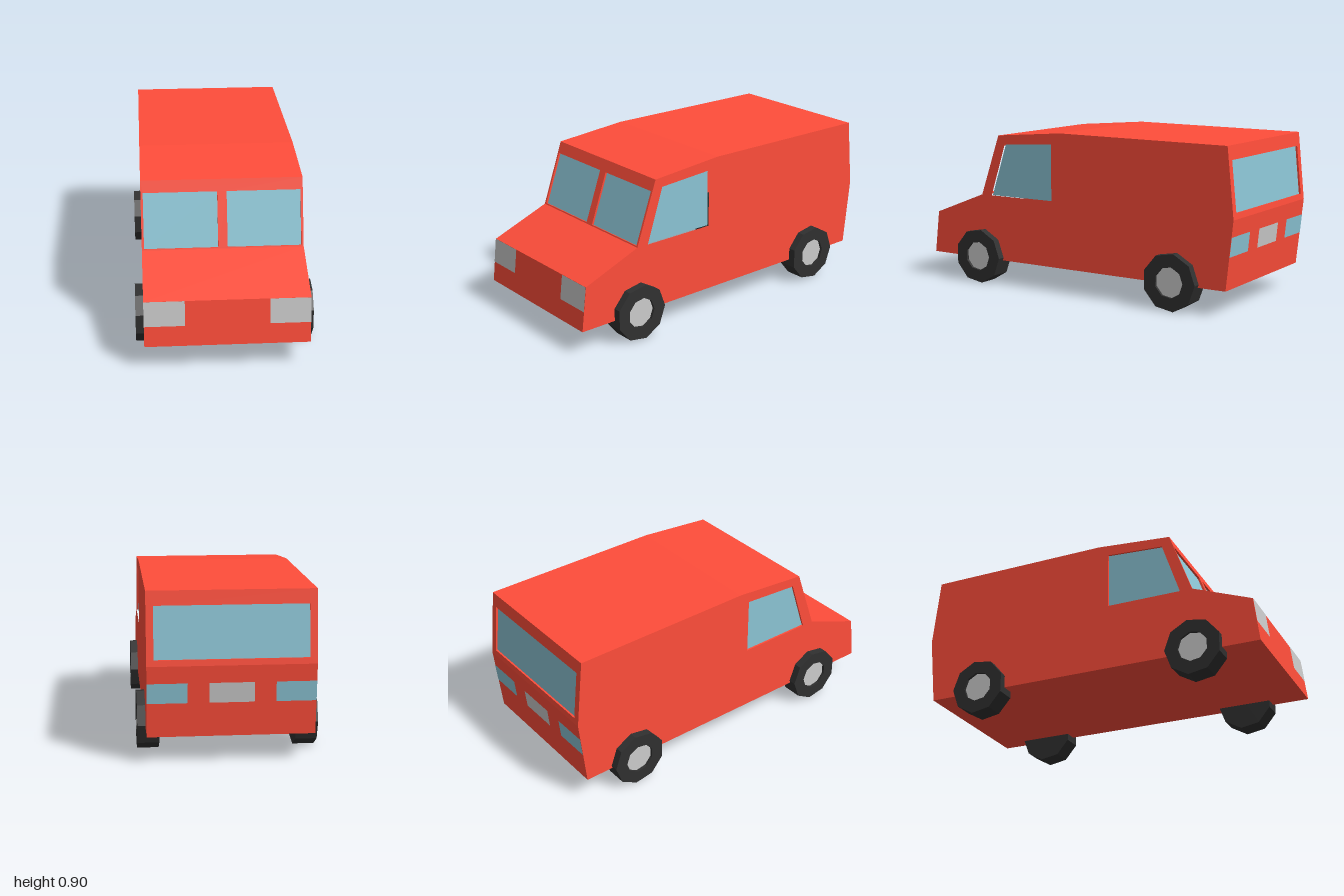
import * as THREE from 'three';

const mat = (color) => new THREE.MeshStandardMaterial({ color, flatShading: true });
const red = mat(0xff4d3a), glass = mat(0x8bc4d4), grey = mat(0xcccccc), rubber = mat(0x303030);

const HALF = 0.432;    // half body width
const RECESS = 0.012;  // how far the glass sits behind the body

const V = (x, y, z) => new THREE.Vector3(x, y, z);
const path = (pts, Type = THREE.Shape) => new Type(pts.map(([x, y]) => new THREE.Vector2(x, y)));
const rect = (x0, x1, y0, y1) => [[x0, y0], [x1, y0], [x1, y1], [x0, y1]];

// Flat body panel with recessed windows and thin stuck-on plates, in its own plane
function panel(name, outline, { windows = [], plates = [] } = {}) {
  const group = new THREE.Group();
  group.name = name;
  const add = (part, geo, material, z) => {
    const mesh = new THREE.Mesh(geo.translate(0, 0, z), material);
    mesh.name = part;
    group.add(mesh);
  };
  const shape = path(outline);
  windows.forEach((w) => shape.holes.push(path(w, THREE.Path)));
  if (windows.length) {
    add(name + 'Skin', new THREE.ExtrudeGeometry(shape, { depth: RECESS, bevelEnabled: false }), red, -RECESS);
  } else {
    add(name + 'Skin', new THREE.ShapeGeometry(shape), red, 0);
  }
  windows.forEach((w) => add(name + 'Glass', new THREE.ShapeGeometry(path(w)), glass, -RECESS + 0.001));
  plates.forEach((p) => add(p.name, new THREE.ShapeGeometry(path(p.points)), p.material, 0.0015));
  return group;
}

function place(group, u, v, n, origin) {
  const m = new THREE.Matrix4().makeBasis(u, v, n).setPosition(origin);
  group.applyMatrix4(m);
  return group;
}

// Side profile as [z, y], from the front bumper over the roof to the rear
const profile = [
  [1, 0.14], [0.97, 0.385], [0.635, 0.515], [0.51, 0.865],
  [0.08, 0.9], [-0.96, 0.893], [-1, 0.515], [-0.96, 0.14],
];
const sideWindow = [[0.565, 0.515], [0.465, 0.815], [0.14, 0.835], [0.14, 0.515]];

// Panels across the body; details use x and world height y
const strips = [
  { name: 'nose', plates: [
    { name: 'headlightLeft', material: grey, box: [0.22, HALF, 0.25, 0.385] },
    { name: 'headlightRight', material: grey, box: [-HALF, -0.22, 0.25, 0.385] },
  ] },
  { name: 'hood' },
  { name: 'windscreen', windows: [[0.025, 0.42, 0.522, 0.803], [-0.42, -0.025, 0.522, 0.803]] },
  { name: 'roofFront' },
  { name: 'roof' },
  { name: 'rearUpper', windows: [[-0.395, 0.395, 0.547, 0.818]] },
  { name: 'rearLower', plates: [
    { name: 'tailLightLeft', material: glass, box: [0.225, HALF, 0.32, 0.425] },
    { name: 'tailLightRight', material: glass, box: [-HALF, -0.225, 0.32, 0.425] },
    { name: 'numberPlate', material: grey, box: [-0.115, 0.115, 0.32, 0.425] },
  ] },
  { name: 'floor' },
];

function buildStrip(strip, i) {
  const [z0, y0] = profile[i];
  const [z1, y1] = profile[(i + 1) % profile.length];
  const a = V(0, y0, z0), v = V(0, y1 - y0, z1 - z0);
  const len = v.length();
  v.normalize();
  const u = V(1, 0, 0);
  // World height to distance along the strip
  const along = (y) => ((y - y0) / (y1 - y0)) * len;
  const toLocal = ([x0, x1, lo, hi]) => rect(x0, x1, along(lo), along(hi));
  const group = panel(strip.name, rect(-HALF, HALF, 0, len), {
    windows: (strip.windows || []).map(toLocal),
    plates: (strip.plates || []).map((p) => ({ ...p, points: toLocal(p.box) })),
  });
  return place(group, u, v, u.clone().cross(v), a);
}

function buildSide(s) {
  const flip = ([z, y]) => [-s * z, y];
  const group = panel(s > 0 ? 'sideLeft' : 'sideRight', profile.map(flip), { windows: [sideWindow.map(flip)] });
  return place(group, V(0, 0, -s), V(0, 1, 0), V(s, 0, 0), V(s * HALF, 0, 0));
}

// Nine-sided wheel with a sunken hub
function buildWheel(name, s, z) {
  const R = 0.158, hubR = 0.085, inner = 0.36, outer = 0.475, sunk = 0.46;
  const turned = (pts) => new THREE.LatheGeometry(pts.map(([r, h]) => new THREE.Vector2(r, h)), 9, Math.PI)
    .rotateZ(-s * Math.PI / 2);
  const tyre = new THREE.Mesh(turned([[0, inner], [R, inner], [R, outer], [hubR, outer], [hubR, sunk]]), rubber);
  const hub = new THREE.Mesh(turned([[hubR, sunk], [0, sunk]]), grey);
  tyre.name = 'tyre';
  hub.name = 'hub';
  const wheel = new THREE.Group();
  wheel.name = name;
  wheel.add(tyre, hub);
  wheel.position.set(0, 0.156, z);
  return wheel;
}

export function createModel() {
  const van = new THREE.Group();
  van.name = 'van';
  const body = new THREE.Group();
  body.name = 'body';
  strips.forEach((strip, i) => body.add(buildStrip(strip, i)));
  van.add(body);
  for (const s of [1, -1]) {
    const side = s > 0 ? 'Left' : 'Right';
    body.add(buildSide(s));
    van.add(buildWheel('frontWheel' + side, s, 0.643), buildWheel('rearWheel' + side, s, -0.645));
  }
  return van;
}
